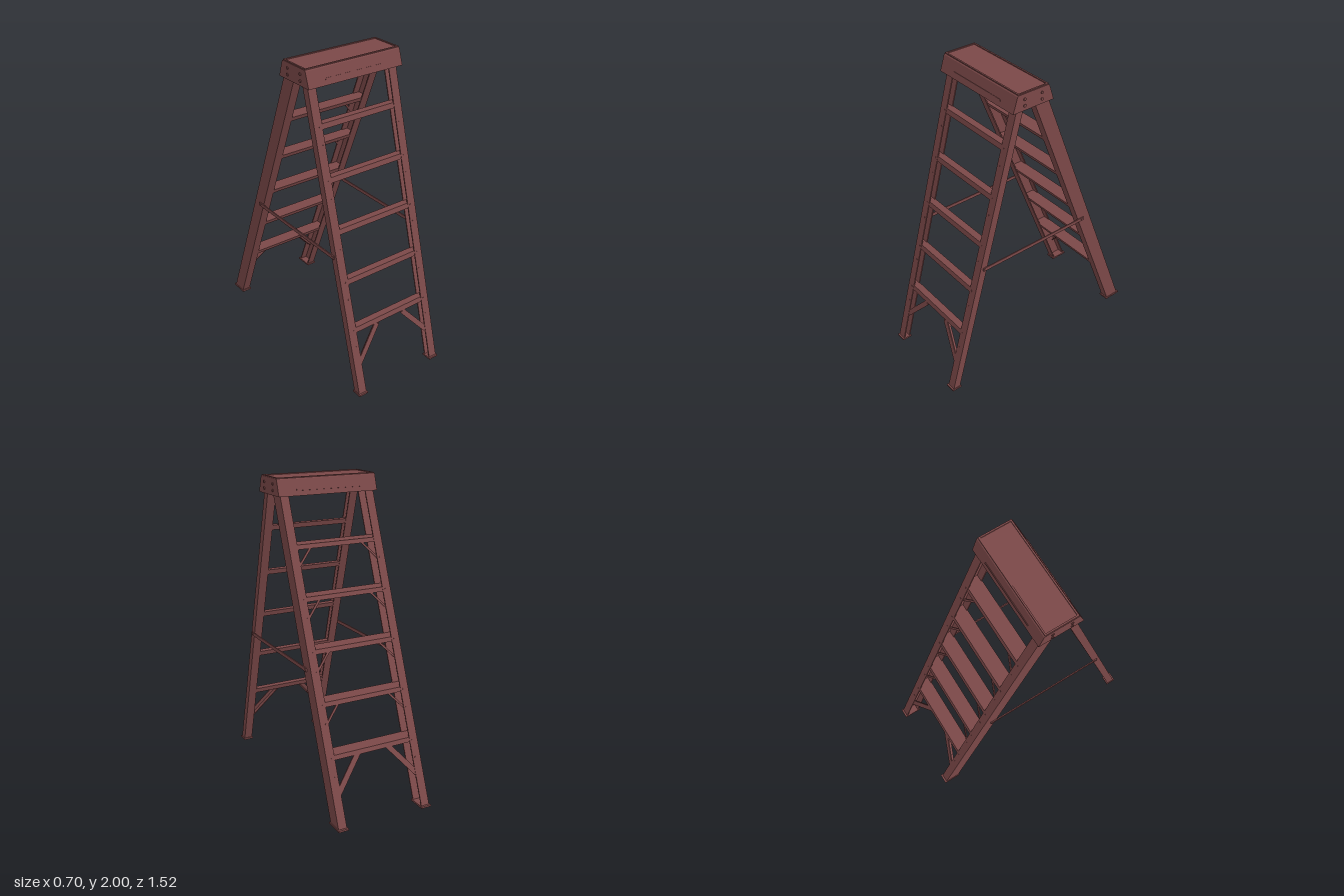
import * as THREE from 'three';

const material = new THREE.MeshStandardMaterial({ color: 0x7b4848, side: THREE.DoubleSide });

function add(parent, geometry, name) {
  const mesh = new THREE.Mesh(geometry, material);
  mesh.name = name;
  parent.add(mesh);
  return mesh;
}

const polygon = (points) => new THREE.Shape(points.map(([x, y]) => new THREE.Vector2(x, y)));
const box = (w, h, d, x, y, z) => new THREE.BoxGeometry(w, h, d).translate(x, y, z);
const extrude = (shape, depth) => new THREE.ExtrudeGeometry(shape, { depth, bevelEnabled: false });

// Extrudes a profile drawn in z and y along x, centred
const alongX = (shape, length) => extrude(shape, length).translate(0, 0, -length / 2).rotateY(Math.PI / 2);

// Upside-down U profile for the steps
function stepProfile(half, height) {
  const t = 0.006;
  return polygon([
    [-half, 0], [-half, height], [half, height], [half, 0],
    [half - t, 0], [half - t, height - t], [t - half, height - t], [t - half, 0],
  ]);
}

// Flat bar or plate between two points in the plane of the rails
function bar(x1, y1, x2, y2, width, depth, z) {
  const dx = x2 - x1, dy = y2 - y1;
  return new THREE.BoxGeometry(Math.hypot(dx, dy), width, depth)
    .rotateZ(Math.atan2(dy, dx))
    .translate((x1 + x2) / 2, (y1 + y2) / 2, z);
}

// One leaning side: built upright, then sheared so the ends stay level
function ladderSide({ name, depth, slope, z0, out, firstStep, spacing, stepHeight, footDepth, smallBraces }) {
  const side = new THREE.Group();
  side.name = name;
  const h = depth / 2;
  const lean = new THREE.Matrix4().set(1, 0, 0, 0, 0, 1, slope, 0, 0, 0, 1, 0, 0, 0, 0, 1);
  lean.set(1, 0, 0, 0, 0, 1, 0, 0, 0, slope, 1, z0, 0, 0, 0, 1);
  const leaning = (geometry, part) => {
    geometry.applyMatrix4(lean);
    geometry.computeVertexNormals();
    add(side, geometry, part);
  };

  for (const s of [-1, 1]) {
    // Channel rail, open towards the steps
    const t = 0.008;
    const section = polygon([
      [s * 0.268, -h], [s * 0.325, -h], [s * 0.325, h], [s * 0.268, h],
      [s * 0.268, h - t], [s * 0.315, h - t], [s * 0.315, t - h], [s * 0.268, t - h],
    ]);
    leaning(extrude(section, 1.965).rotateX(-Math.PI / 2).translate(0, 0.005, 0), 'rail');
    add(side, box(0.068, 0.012, footDepth, s * 0.296, 0.006, z0 + slope * 0.006), 'foot');

    // Large angle brace below the lowest step
    leaning(bar(s * 0.3, 0.18, s * 0.105, 0.4, 0.035, 0.007, out * (h - 0.006)), 'lowerBrace');
    leaning(bar(s * 0.29, 0.175, s * 0.09, 0.4, 0.006, 0.035, out * (h - 0.02)), 'lowerBraceFlange');
  }

  for (let i = 0; i < 5; i++) {
    const top = firstStep + i * spacing;
    leaning(alongX(stepProfile(h - 0.002, stepHeight), 0.63).translate(0, top - stepHeight, 0), 'step');
    for (const s of [-1, 1]) {
      if (smallBraces && i > 0) {
        leaning(bar(s * 0.285, top - 0.134, s * 0.175, top - 0.018, 0.013, 0.006, out * (h - 0.01)), 'stepBrace');
      }
      // Rivets on the outer flange
      for (const drop of [0.014, 0.12]) {
        const rivet = new THREE.CylinderGeometry(0.005, 0.005, 0.004, 8).rotateX(Math.PI / 2);
        leaning(rivet.translate(s * 0.287, top - drop, out * h), 'rivet');
      }
    }
  }
  return side;
}

function createCap() {
  const cap = new THREE.Group();
  cap.name = 'topCap';
  cap.position.set(0, 1.89, 0.122);

  // Hollow flared body with closed ends
  const outline = [[-0.147, 0], [-0.115, 0.098], [-0.109, 0.104], [0.109, 0.104], [0.115, 0.098], [0.147, 0]];
  const hollow = [[0.139, 0], [0.108, 0.096], [-0.108, 0.096], [-0.139, 0]];
  add(cap, alongX(polygon([...outline, ...hollow]), 0.672), 'capShell');
  for (const s of [-1, 1]) {
    add(cap, alongX(polygon(outline), 0.01).translate(s * 0.338, 0, 0), 'capEnd');

    // Long rib on each sloping face
    const rib = add(cap, new THREE.BoxGeometry(0.44, 0.01, 0.006), 'capRib');
    rib.position.set(0, 0.035, s * 0.136);
    rib.rotation.x = -s * 0.31;

    for (const z of [-0.06, 0.065]) {
      for (const y of [0.03, 0.07]) {
        const rivet = new THREE.CylinderGeometry(0.009, 0.009, 0.008, 10).rotateZ(Math.PI / 2);
        add(cap, rivet.translate(s * 0.344, y, z), 'capRivet');
      }
    }
  }

  // Raised rim round the tray
  const rim = polygon([[-0.34, -0.109], [0.34, -0.109], [0.34, 0.109], [-0.34, 0.109]]);
  rim.holes.push(polygon([[-0.33, -0.099], [-0.33, 0.099], [0.33, 0.099], [0.33, -0.099]]));
  add(cap, extrude(rim, 0.006).rotateX(-Math.PI / 2).translate(0, 0.104, 0), 'capRim');
  return cap;
}

export function createModel() {
  const model = new THREE.Group();
  model.name = 'stepLadder';

  model.add(ladderSide({
    name: 'frontSide', depth: 0.05, slope: -0.276, z0: 0.727, out: 1,
    firstStep: 0.435, spacing: 0.31, stepHeight: 0.032, footDepth: 0.068, smallBraces: false,
  }));
  model.add(ladderSide({
    name: 'rearSide', depth: 0.1, slope: 0.394, z0: -0.698, out: -1,
    firstStep: 0.417, spacing: 0.298, stepHeight: 0.027, footDepth: 0.122, smallBraces: true,
  }));
  model.add(createCap());

  // Spreader bars with a bolt at each end
  for (const s of [-1, 1]) {
    add(model, box(0.007, 0.023, 0.825, s * 0.3285, 0.892, 0.073), 'spreaderBar');
    for (const z of [-0.325, 0.475]) {
      const bolt = new THREE.CylinderGeometry(0.009, 0.009, 0.01, 10).rotateZ(Math.PI / 2);
      add(model, bolt.translate(s * 0.329, 0.892, z), 'spreaderBolt');
    }
  }
  return model;
}
